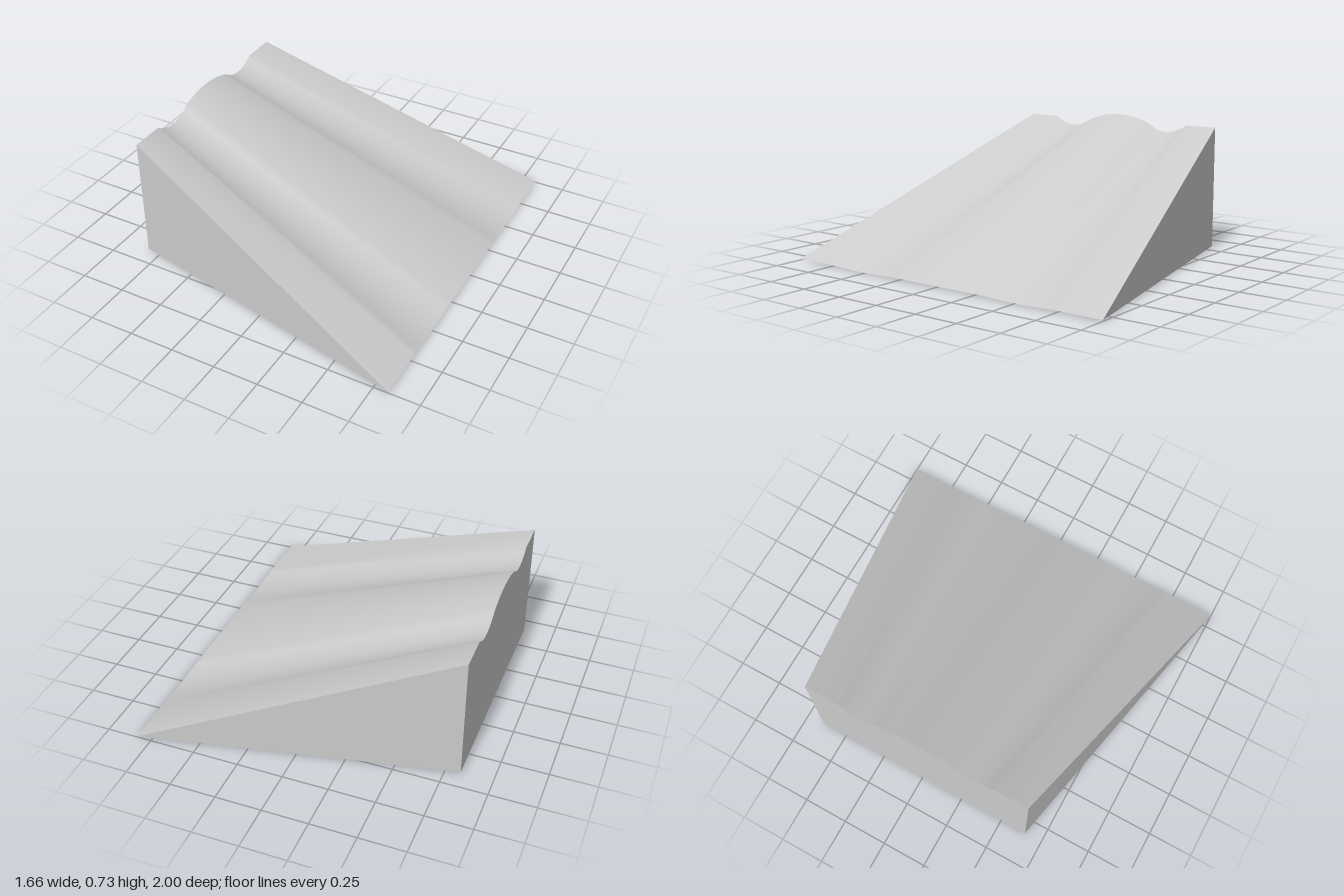
import * as THREE from 'three';
import { toCreasedNormals } from 'three/addons/utils/BufferGeometryUtils.js';

const HALF_LENGTH = 0.83, HIGH_HALF = 0.65, LOW_HALF = 1, FLOOR = 0.006;

// Height of the raised end across its width: flat shoulders, two grooves, a central crown
function profile(z) {
  const d = Math.abs(z);
  if (d > 0.46) return 0.695;
  if (d > 0.2) return 0.648 + 0.047 * ((d - 0.33) / 0.13) ** 2;
  return 0.733 - 0.038 * (d / 0.2) ** 2;
}

// Ruled surface between two rows of points
function sheet(a, b) {
  const positions = [], index = [];
  a.forEach((p, i) => {
    positions.push(...p, ...b[i]);
    if (i > 0) {
      const k = 2 * (i - 1);
      index.push(k, k + 2, k + 1, k + 2, k + 3, k + 1);
    }
  });
  const geometry = new THREE.BufferGeometry();
  geometry.setAttribute('position', new THREE.Float32BufferAttribute(positions, 3));
  geometry.setIndex(index);
  return toCreasedNormals(geometry, 0.7);
}

export function createModel() {
  const group = new THREE.Group();
  group.name = 'ramp';
  const material = new THREE.MeshStandardMaterial({ color: 0xcccccc, side: THREE.DoubleSide });
  const add = (name, geometry) => {
    const mesh = new THREE.Mesh(geometry, material);
    mesh.name = name;
    group.add(mesh);
  };

  // Stations across the width, denser over the grooves and crown
  const half = [0.65, 0.46];
  for (let i = 1; i <= 12; i++) half.push(0.46 - (0.26 * i) / 12);
  for (let i = 1; i <= 8; i++) half.push(0.2 - (0.2 * i) / 8);
  const stations = [...half.map((z) => -z), ...half.slice(0, -1).reverse()];

  // Raised end, its foot, and the wide low lip where the relief fades out
  const high = stations.map((z) => [-HALF_LENGTH, profile(z), z]);
  const foot = stations.map((z) => [-HALF_LENGTH, FLOOR, z]);
  const lip = stations.map((z) => [
    HALF_LENGTH, FLOOR + 0.12 * Math.min(0, profile(z) - 0.695), (z * LOW_HALF) / HIGH_HALF,
  ]);

  add('rampSurface', sheet(high, lip));
  add('underside', sheet(lip, foot));
  add('endWall', sheet(foot, high));

  // Triangular side walls
  const last = stations.length - 1;
  for (const [name, i] of [['leftEdgeWall', last], ['rightEdgeWall', 0]]) {
    const corners = [foot[i], lip[i], high[i]];
    if (i === 0) corners.reverse();
    const wall = new THREE.BufferGeometry();
    wall.setAttribute('position', new THREE.Float32BufferAttribute(corners.flat(), 3));
    wall.computeVertexNormals();
    add(name, wall);
  }
  return group;
}
